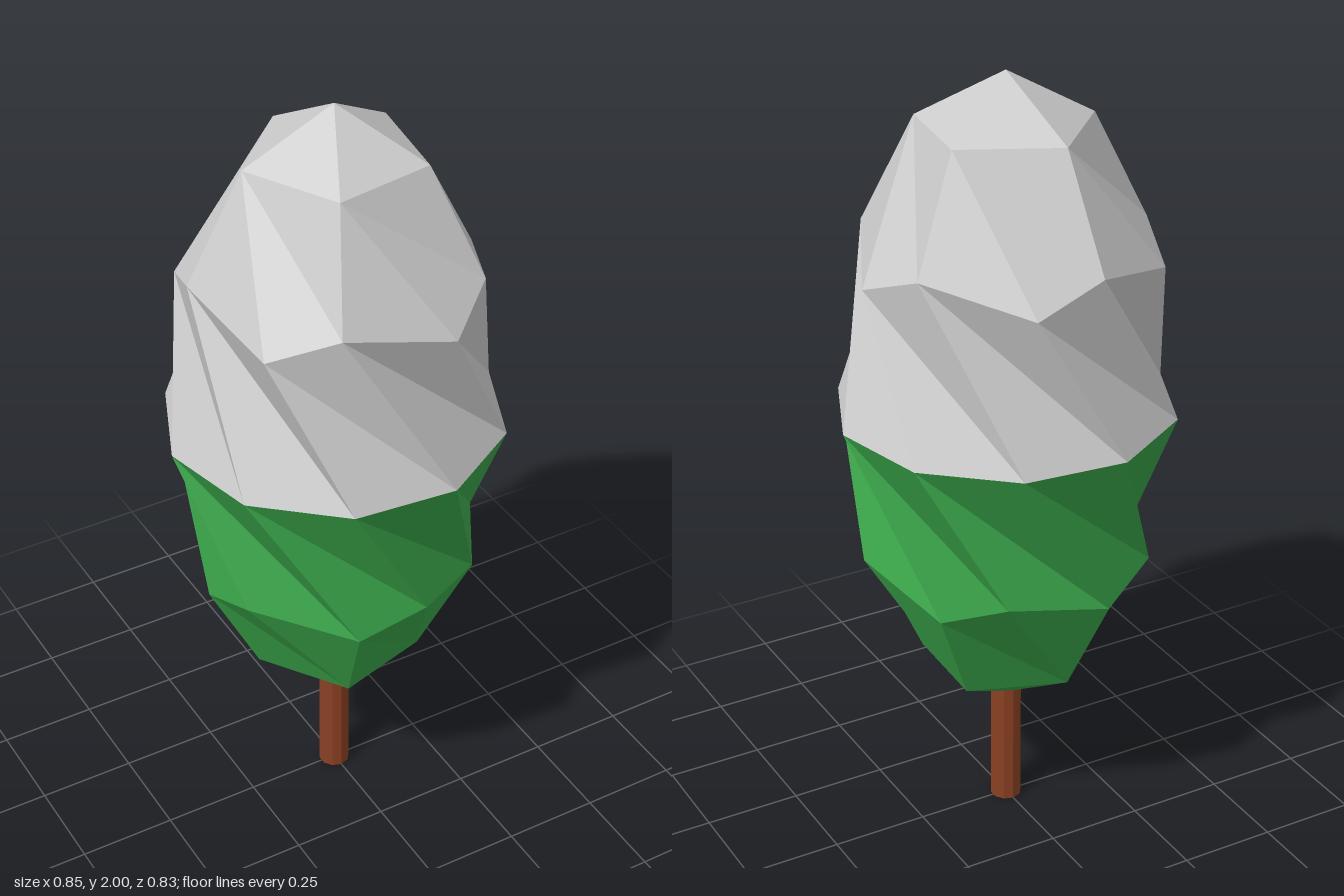
import * as THREE from 'three';

const EQUATOR = 1.146, RADIUS = 0.427;
const deg = THREE.MathUtils.degToRad;

// Faceted ball with a vertex at each pole, stretched and twisted about y
function twistedBall() {
  const geo = new THREE.IcosahedronGeometry(1, 1);
  geo.rotateZ(Math.atan(2 / (1 + Math.sqrt(5))));
  const p = geo.attributes.position;
  for (let i = 0; i < p.count; i++) {
    const h = p.getY(i);
    const lower = h < -0.01;
    const angle = Math.atan2(p.getZ(i), p.getX(i)) + deg(-84.7 + 109.5 * h);
    const r = Math.hypot(p.getX(i), p.getZ(i)) * RADIUS * (lower ? 0.975 : 1);
    p.setXYZ(i, r * Math.cos(angle), EQUATOR + h * (lower ? 0.835 : 0.854), r * Math.sin(angle));
  }
  return geo;
}

// Keeps only the triangles above (sign 1) or below (sign -1) the equator
function halfOf(ball, sign) {
  const src = ball.attributes.position, out = [];
  for (let i = 0; i < src.count; i += 3) {
    const mid = (src.getY(i) + src.getY(i + 1) + src.getY(i + 2)) / 3;
    if ((mid - EQUATOR) * sign > 0) {
      for (let k = i; k < i + 3; k++) out.push(src.getX(k), src.getY(k), src.getZ(k));
    }
  }
  const geo = new THREE.BufferGeometry();
  geo.setAttribute('position', new THREE.Float32BufferAttribute(out, 3));
  geo.computeVertexNormals();
  return geo;
}

export function createModel() {
  const group = new THREE.Group();
  group.name = 'tree';
  const add = (name, geo, color) => {
    const mesh = new THREE.Mesh(geo, new THREE.MeshStandardMaterial({ color, flatShading: true }));
    mesh.name = name;
    group.add(mesh);
    return mesh;
  };

  // Crown: pale upper half, green lower half
  const ball = twistedBall();
  add('upperCrown', halfOf(ball, 1), 0xcccccc);
  add('lowerCrown', halfOf(ball, -1), 0x3aa64a);

  // Trunk, reaching a little into the crown
  add('trunk', new THREE.CylinderGeometry(0.04, 0.04, 0.38, 10), 0x8b4023).position.y = 0.19;

  return group;
}
